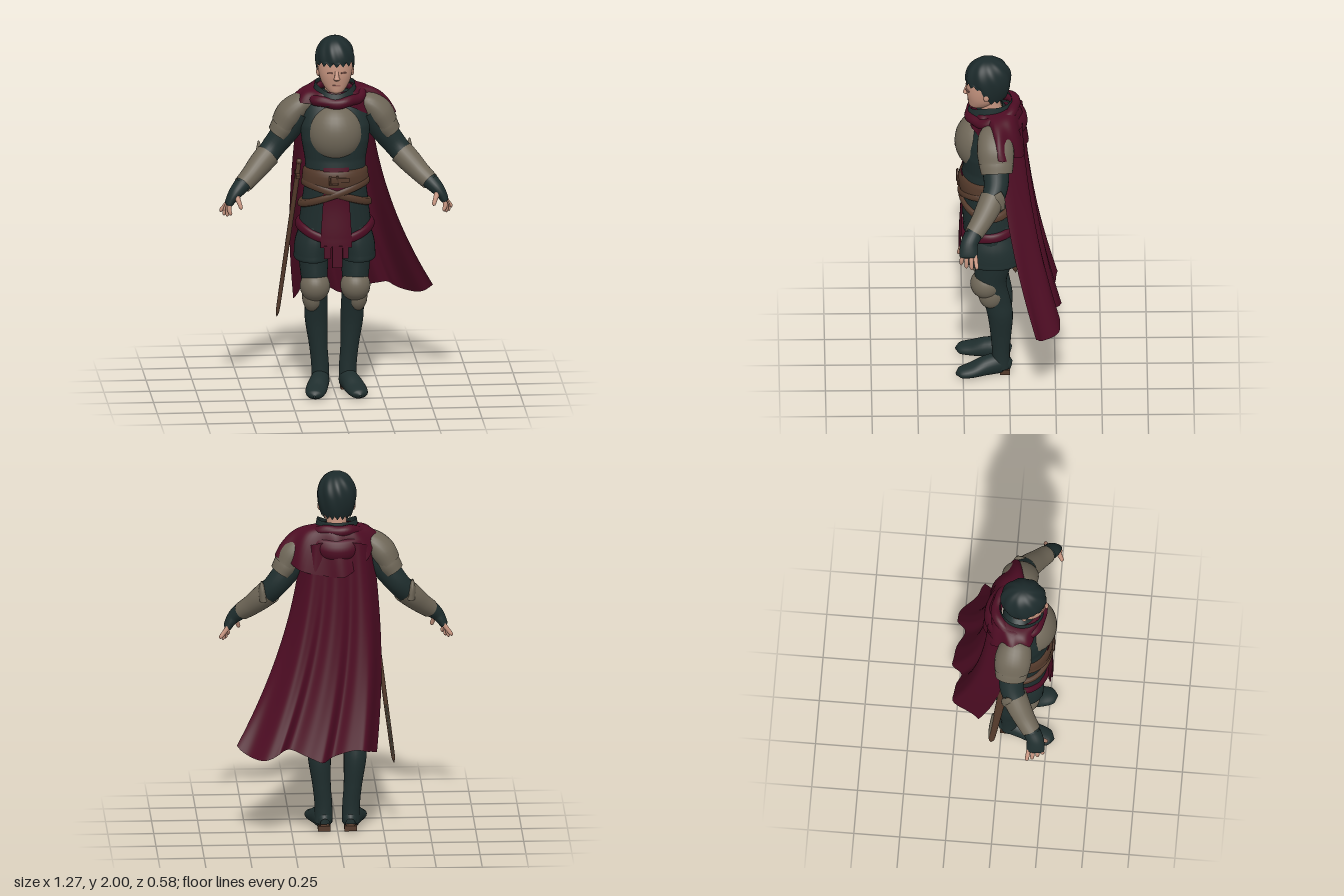
import * as THREE from 'three';
import { ParametricGeometry } from 'three/addons/geometries/ParametricGeometry.js';

const material = (name, color) => {
  const m = new THREE.MeshStandardMaterial({ color, side: THREE.DoubleSide });
  m.name = name;
  return m;
};
const { sin, cos, PI, abs, pow, max } = Math;
const lerp = THREE.MathUtils.lerp;
const smooth = THREE.MathUtils.smoothstep;

// Torso cross-sections from top to hem: y, centre z, half width, half depth
const TORSO = [
  [1.70, .09, .06, .055], [1.66, .09, .13, .08], [1.60, .10, .18, .10], [1.50, .12, .19, .125],
  [1.42, .13, .183, .125], [1.32, .13, .165, .12], [1.24, .135, .163, .125], [1.15, .125, .172, .135],
  [1.05, .11, .185, .145], [.95, .10, .197, .15], [.89, .095, .203, .152],
];
function torsoAt(y, angle, offset = 0) {
  let i = 0;
  while (i < TORSO.length - 2 && TORSO[i + 1][0] > y) i++;
  const a = TORSO[i], b = TORSO[i + 1];
  const t = THREE.MathUtils.clamp((a[0] - y) / (a[0] - b[0]), 0, 1);
  const [z, rx, rz] = [1, 2, 3].map(k => lerp(a[k], b[k], t));
  return [cos(angle) * (rx + offset), y, z + sin(angle) * (rz + offset)];
}

export function createModel() {
  const model = new THREE.Group();
  model.name = 'cloakedKnight';
  const cloth = material('darkTeal', 0x1f2e2e);
  const red = material('maroon', 0x4d0c23);
  const steel = material('dullSteel', 0x6f6758);
  const leather = material('brownLeather', 0x543a2b);
  const skin = material('skin', 0xc79580);
  const lip = material('lip', 0x96655a);
  const hairMat = material('darkHair', 0x1c2a2b);

  const add = (name, geometry, mat) => {
    const mesh = new THREE.Mesh(geometry, mat);
    mesh.name = name;
    model.add(mesh);
    return mesh;
  };
  // Surface from a rule (u, v) -> [x, y, z]
  const surface = (name, mat, rule, nu = 48, nv = 24) =>
    add(name, new ParametricGeometry((u, v, p) => p.set(...rule(u, v)), nu, nv), mat);

  // Smooth limb through sections [x, y, z, a, b]; a lies along ref, b across it
  function loft(name, mat, sections, ref = [1, 0, 0], flat = false, side = 1, nu = 24) {
    const path = new THREE.CatmullRomCurve3(sections.map(s => new THREE.Vector3(s[0] * side, s[1], s[2])));
    const radii = new THREE.CatmullRomCurve3(sections.map(s => new THREE.Vector3(s[3], s[4], 0)), false, 'catmullrom');
    const axis = new THREE.Vector3(...ref);
    return surface(name, mat, (u, v) => {
      const c = path.getPoint(v), r = radii.getPoint(v);
      const t = flat ? new THREE.Vector3(0, 1, 0) : path.getTangent(v);
      const a = axis.clone().addScaledVector(t, -axis.dot(t)).normalize();
      const b = t.clone().cross(a);
      c.addScaledVector(a, cos(u * 2 * PI) * r.x).addScaledVector(b, sin(u * 2 * PI) * r.y);
      return [c.x, c.y, c.z];
    }, nu, (sections.length - 1) * 5);
  }
  const ellipsoid = (name, mat, p, r) => {
    const m = add(name, new THREE.SphereGeometry(1, 28, 18), mat);
    m.position.set(...p);
    m.scale.set(...r);
    return m;
  };
  const box = (name, mat, p, size, rot = [0, 0, 0]) => {
    const m = add(name, new THREE.BoxGeometry(...size), mat);
    m.position.set(...p);
    m.rotation.set(...rot);
    return m;
  };
  // Raised strap running around the torso at height yOf(angle)
  const band = (name, mat, yOf, h, off) => surface(name, mat, (u, v) => {
    const a = u * 2 * PI;
    return torsoAt(yOf(a) + h * (.5 - v), a, off * pow(sin(PI * v), .25));
  }, 64, 10);

  // Tunic, breastplate, belts and tabard
  surface('tunic', cloth, (u, v) => torsoAt(lerp(1.70, .89, v), u * 2 * PI), 40, 40);
  ellipsoid('breastplate', steel, [-.003, 1.468, .16], [.15, .162, .136]);
  band('mainBelt', leather, () => 1.228, .1, .016);
  band('hipBeltLeft', leather, a => 1.135 - .06 * cos(a) + .012 * sin(a), .044, .018);
  band('hipBeltRight', leather, a => 1.135 + .065 * cos(a) + .012 * sin(a), .044, .021);
  band('tunicHem', red, a => .955 - .07 * pow(max(sin(a), 0), 2) + .015 * max(-sin(a), 0), .05, .02);
  surface('tabard', red, (u, v) =>
    torsoAt(lerp(1.295, .85, v), PI / 2 + (u - .47) * lerp(.84, .76, v), lerp(.007, .026, smooth(v, .4, 1))), 12, 24);
  for (const [x, w, h] of [[-.053, .04, .07], [0, .056, .12], [.045, .03, .07]])
    box('tabardTail', red, [x, .86 - h / 2, .271 - abs(x) * .12], [w, h, .008]);
  const buckle = add('buckle', new THREE.TorusGeometry(.03, .007, 8, 4), leather);
  buckle.position.set(-.02, 1.228, .28);
  buckle.rotation.z = PI / 4;
  box('buckleStrap', leather, [.03, 1.23, .278], [.07, .025, .009]);

  // Legs and arms, mirrored
  for (const s of [1, -1]) {
    loft('breeches', cloth, [
      [.10, 1.0, .09, .07, .12], [.108, .93, .09, .085, .132], [.115, .86, .088, .1, .145],
      [.125, .79, .085, .097, .148], [.125, .755, .085, .093, .143], [.115, .75, .085, .07, .1]], [1, 0, 0], true, s);
    loft('leg', cloth, [
      [.115, .9, .08, .085, .105], [.115, .75, .085, .08, .1], [.11, .62, .1, .07, .085],
      [.1, .5, .07, .063, .075], [.097, .4, .05, .062, .07], [.085, .25, .045, .05, .056],
      [.075, .13, .045, .048, .048], [.075, .04, .045, .048, .05]], [1, 0, 0], true, s);
    loft('bootFoot', cloth, [
      [.07, .045, -.008, .025, .03], [.073, .06, .04, .048, .058], [.09, .056, .12, .055, .055],
      [.11, .038, .2, .058, .037], [.122, .028, .265, .044, .026], [.126, .022, .29, .004, .006]],
      [1, 0, 0], false, s);
    box('heel', leather, [.072 * s, .015, .022], [.068, .03, .055]);
    ellipsoid('kneePlate', steel, [.11 * s, .605, .126], [.082, .085, .086]);
    ellipsoid('shinTongue', steel, [.122 * s, .54, .098], [.056, .085, .07]);

    const z = [0, 0, 1];
    loft('sleeve', cloth, [
      [.19, 1.58, .085, .08, .08], [.265, 1.465, .075, .074, .072], [.33, 1.38, .075, .066, .064],
      [.38, 1.32, .1, .06, .06], [.45, 1.25, .15, .05, .05], [.53, 1.18, .212, .04, .04]], z, false, s);
    loft('pauldron', steel, [
      [.12, 1.63, .09, .05, .04], [.18, 1.618, .085, .085, .063], [.24, 1.565, .077, .1, .076],
      [.28, 1.5, .073, .095, .068]], z, false, s);
    loft('pauldronLame', steel, [
      [.25, 1.54, .075, .09, .066], [.28, 1.49, .072, .093, .067], [.305, 1.45, .07, .085, .06]], z, false, s);
    loft('bracer', steel, [
      [.365, 1.335, .092, .069, .068], [.41, 1.29, .12, .066, .064], [.46, 1.24, .157, .058, .056],
      [.51, 1.196, .197, .052, .05]], z, false, s);
    loft('elbowWing', steel, [
      [.40, 1.30, .075, .05, .028], [.408, 1.36, .06, .035, .018], [.412, 1.405, .048, .003, .003]], z, false, s);
    loft('glove', cloth, [
      [.515, 1.195, .2, .048, .045], [.55, 1.16, .222, .047, .037], [.575, 1.125, .226, .049, .028],
      [.59, 1.095, .226, .044, .02], [.593, 1.09, .226, .002, .002]], z, false, s);
    for (let i = 0; i < 4; i++) {
      const fz = .19 + i * .023, drop = [.012, 0, 0, .012][i];
      loft('finger', skin, [
        [.585, 1.108, fz, .012, .013], [.61 - i * .007, 1.075, fz - .004 + i * .003, .0115, .012],
        [.627 - i * .015, 1.04 + drop, fz - .008 + i * .005, .01, .01],
        [.629 - i * .015, 1.03 + drop, fz - .008 + i * .005, .002, .002]], z, false, s, 10);
    }
    loft('thumb', skin, [
      [.55, 1.15, .25, .018, .018], [.535, 1.115, .27, .013, .013], [.525, 1.085, .28, .01, .01],
      [.523, 1.078, .281, .002, .002]], z, false, s, 10);

    // Face details
    ellipsoid('ear', skin, [.092 * s, 1.805, .125], [.012, .025, .016]);
    box('eye', lip, [.038 * s, 1.818, .2255], [.03, .007, .009], [0, .42 * s, 0]);
  }

  // Head
  loft('neck', skin, [[0, 1.62, .08, .062, .06], [0, 1.70, .1, .055, .058], [0, 1.78, .11, .055, .058]], [1, 0, 0], true);
  loft('head', skin, [
    [0, 1.692, .175, .012, .015], [0, 1.705, .165, .042, .052], [0, 1.75, .142, .075, .083],
    [0, 1.8, .135, .09, .097], [0, 1.86, .125, .096, .104], [0, 1.92, .12, .088, .1],
    [0, 1.96, .12, .06, .07]], [1, 0, 0], true, 1, 32);
  loft('nose', skin, [
    [0, 1.83, .226, .009, .008], [0, 1.8, .235, .012, .01], [0, 1.783, .237, .017, .012],
    [0, 1.774, .23, .006, .004]], [1, 0, 0], true, 1, 14);
  box('mouth', lip, [0, 1.747, .2225], [.044, .007, .008]);

  // Cropped hair with a ragged fringe and a low nape
  surface('hair', hairMat, (u, v) => {
    const a = u * 2 * PI, s = sin(a);
    const jag = .024 * abs(((u * 18) % 1) * 2 - 1);
    const low = 1.75 + .098 * smooth(s, -.1, .5) + jag;
    const t = v * PI / 2;
    const y = v < .7 ? 1.875 + .125 * cos(t / .7) : lerp(1.875, low, (v - .7) / .3);
    const below = max(0, (1.875 - y) / .13);
    const r = (v < .7 ? pow(sin(t / .7), .9) : 1 - .28 * below * below)
      * (1 + .028 * sin(a * 9 + v * 7) * sin(PI * Math.min(v, .9)));
    return [cos(a) * .106 * r, y, .113 + s * .124 * r];
  }, 108, 28);

  // Standing collar, rolled cowl and mantle draped over the left shoulder
  surface('collar', cloth, (u, v) => {
    const a = u * 2 * PI, s = sin(a);
    const r = lerp(.13, .108, v);
    return [cos(a) * r, lerp(1.63, 1.745 - .05 * pow(max(s, 0), 2), v), .1 + s * r * 1.05];
  }, 40, 6);
  surface('cowl', red, (u, v) => {
    const a = u * 2 * PI, b = v * 2 * PI, s = sin(a);
    const tube = .03 + .004 * sin(a * 6 + b);
    const r = .13 + tube * cos(b);
    return [cos(a) * (r + .01), 1.675 - .03 * s + tube * sin(b), .09 + s * (r - .008)];
  }, 64, 14);
  surface('mantle', red, (u, v) => {
    const a = u * 2 * PI, s = sin(a), c = cos(a);
    const left = .335 - .14 * smooth(s, -.15, .4);
    const rx = lerp(.1, c > 0 ? lerp(.225, left, smooth(c, 0, .5)) : .225, v);
    const rz = lerp(.1, s > 0 ? .13 : .185, v);
    const drop = .065 + (s < 0 ? .2 * s * s : 0) + (c > 0 ? .095 * c * c : 0);
    const fold = 1 + .045 * v * sin(a * 9 + v * 4);
    return [c * rx * fold, 1.712 - drop * v * v * v - .012 * s, .085 + s * rz * fold];
  }, 80, 20);
  // Folded hood resting on the upper back
  surface('hoodFold', red, (u, v) => {
    const a = PI + u * PI, b = v * 2 * PI, swell = sin(PI * u);
    const tube = .018 + .028 * swell;
    return [cos(a) * (.15 + tube * cos(b)), 1.68 - .08 * swell + tube * 1.4 * sin(b), .07 + sin(a) * (.125 + tube * cos(b))];
  }, 36, 14);

  // Long cape swept towards the left side
  surface('cape', red, (u, v) => {
    const edge = pow(abs(2 * u - 1), 5);
    const left = -.2 - .045 * sin(PI * v * .85);
    const right = .2 + .1 * v + .25 * v * v;
    const bottom = .497 + .032 * sin(u * 13.4 - .7) + .03 * pow(u, 8);
    const y = lerp(1.65 - .08 * edge, bottom, v);
    const fold = (.006 + .02 * v) * sin(u * 20 + 1.2 * v + .6) + .007 * v * sin(u * 43);
    const back = -.075 - .04 * v - .145 * v * v;
    return [lerp(left, right, u) + .012 * v * cos(u * 20), y, back + edge * .12 + fold];
  }, 96, 40);

  // Sheathed sword on the right hip
  loft('scabbard', leather, [
    [-.2, 1.2, .045, .026, .014], [-.235, .93, .015, .025, .013], [-.27, .66, -.012, .021, .012],
    [-.3, .43, -.036, .016, .01], [-.305, .395, -.04, .002, .002]], [0, 0, 1], false, 1, 16);
  loft('scabbardEdge', steel, [
    [-.262, .72, -.026, .012, .006], [-.285, .55, -.042, .011, .006], [-.3, .43, -.048, .004, .004]], [0, 0, 1], false, 1, 10);
  loft('swordGrip', leather, [[-.2, 1.2, .045, .013, .013], [-.192, 1.28, .054, .012, .012]], [0, 0, 1], false, 1, 12);
  box('swordGuard', leather, [-.199, 1.21, .046], [.022, .018, .1], [.1, 0, -.12]);
  ellipsoid('pommel', leather, [-.191, 1.285, .055], [.016, .016, .016]);

  return model;
}
